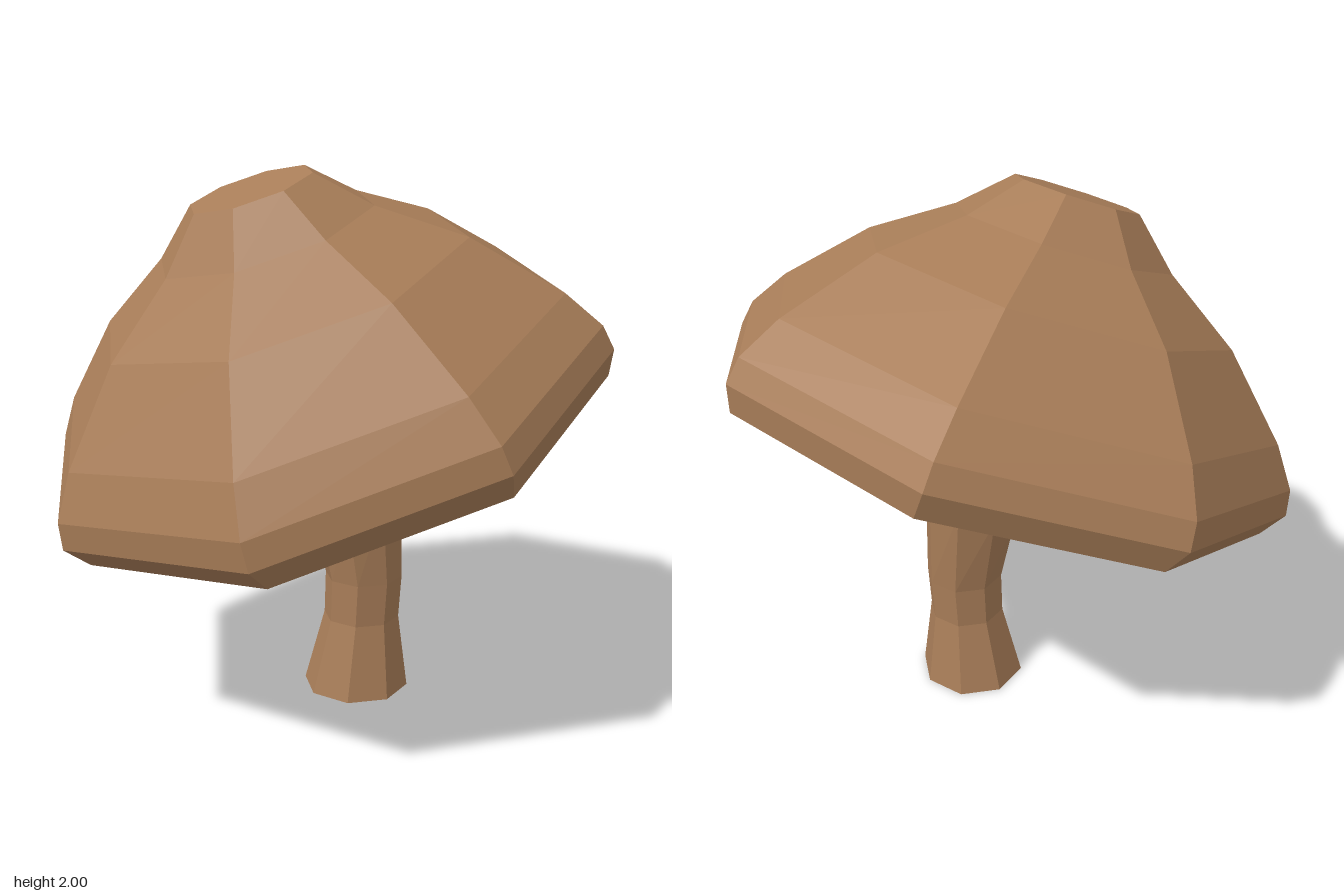
import * as THREE from 'three';

const SIDES = 8;

// One octagonal ring: centre, radius and the two axes of its plane
function ring([x, y, z], r, [a, b]) {
  return Array.from({ length: SIDES }, (_, i) => {
    const t = ((i - 1) * Math.PI * 2) / SIDES;
    return new THREE.Vector3(x, y, z)
      .addScaledVector(a, r * Math.cos(t))
      .addScaledVector(b, r * Math.sin(t));
  });
}

// Joins rings from bottom to top, optionally closing either end
function loft(rings, closeBottom, closeTop) {
  const pts = [];
  const last = rings[rings.length - 1];
  for (let i = 0; i < SIDES; i++) {
    const j = (i + 1) % SIDES;
    for (let k = 0; k < rings.length - 1; k++) {
      const lo = rings[k], up = rings[k + 1];
      pts.push(lo[j], lo[i], up[i], lo[j], up[i], up[j]);
    }
    if (i > 0 && i < SIDES - 1) {
      if (closeBottom) pts.push(rings[0][0], rings[0][i], rings[0][j]);
      if (closeTop) pts.push(last[0], last[j], last[i]);
    }
  }
  const geo = new THREE.BufferGeometry().setFromPoints(pts);
  geo.computeVertexNormals();
  return geo;
}

export function createModel() {
  const group = new THREE.Group();
  const brown = new THREE.MeshStandardMaterial({ color: 0xa87d58, flatShading: true });
  brown.name = 'mushroomBrown';

  const level = [new THREE.Vector3(0.38, 0, -0.925), new THREE.Vector3(0.925, 0, 0.38)];
  const tilted = [new THREE.Vector3(0.398, 0.35, -0.85), new THREE.Vector3(0.894, -0.015, 0.417)];

  const neck = ring([0.075, 0.785, -0.08], 0.185, tilted);

  // Stem: flared foot, narrow waist, tilted neck
  const stem = new THREE.Mesh(loft([
    ring([0.08, 0, -0.08], 0.204, level),
    ring([0.1, 0.29, -0.085], 0.146, level),
    ring([0.107, 0.455, -0.088], 0.149, level),
    neck,
  ], true, false), brown);
  stem.name = 'stem';

  // Underside of the cap, from the neck out to the lip
  const lip = ring([0.01, 1.043, -0.01], 1.03, tilted);
  const underside = new THREE.Mesh(loft([
    neck,
    ring([0.06, 0.9, -0.07], 0.3, tilted),
    ring([0.015, 1.01, -0.02], 0.78, tilted),
    lip,
  ], false, false), brown);
  underside.name = 'capUnderside';

  // Cap: rings along a leaning axis, [position on axis, radius]
  const profile = [[0.1, 1.08], [0.2, 1.06], [0.352, 0.96], [0.636, 0.69], [0.83, 0.405], [1, 0.23]];
  const cap = new THREE.Mesh(loft([
    lip,
    ...profile.map(([t, r]) => ring([-0.14 * t, 1.04 + 0.88 * t, 0.28 * t], r, tilted)),
  ], false, true), brown);
  cap.name = 'cap';

  group.add(stem, underside, cap);
  return group;
}
